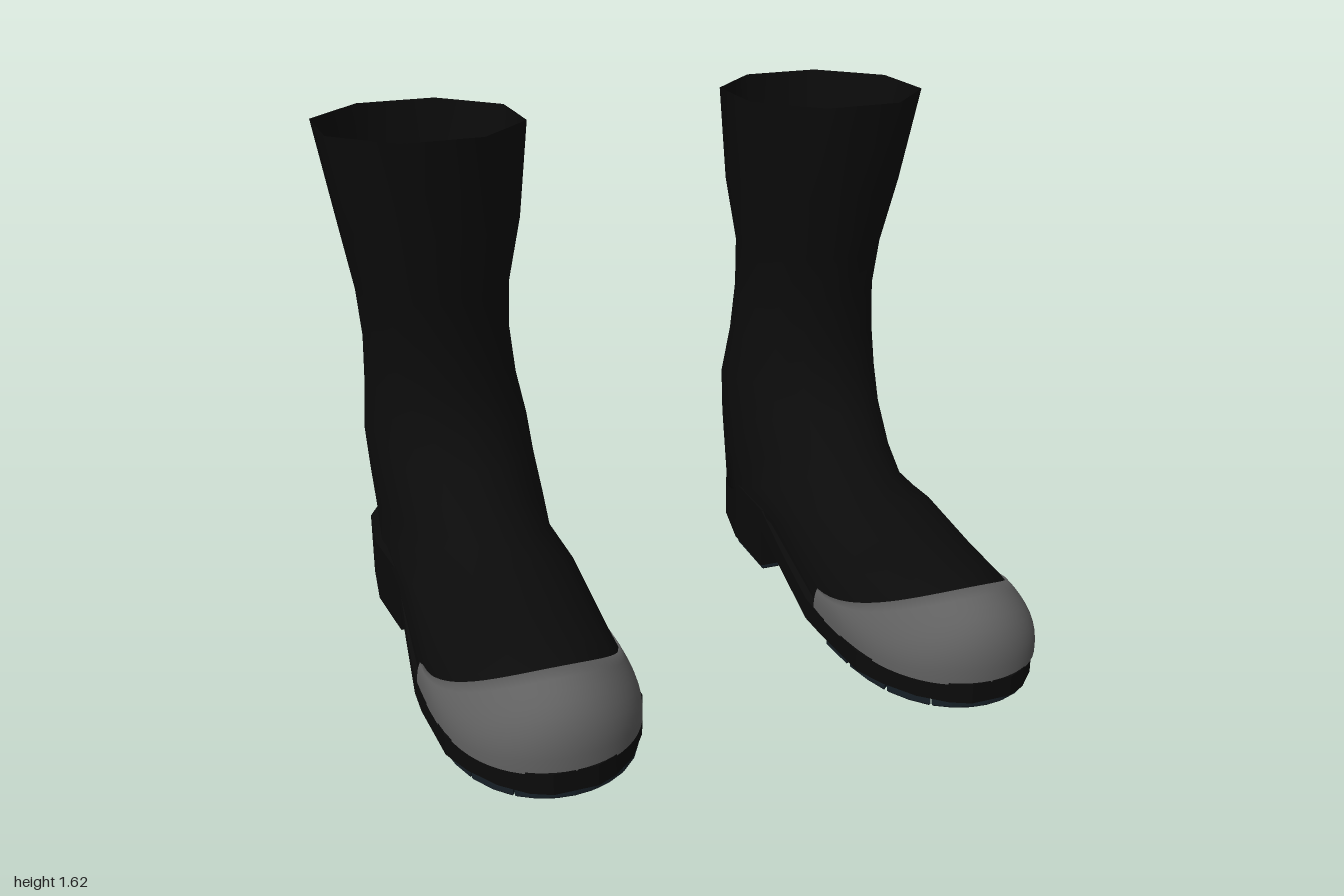
import * as THREE from 'three';
import { mergeVertices } from 'three/addons/utils/BufferGeometryUtils.js';

const mat = (name, color, side = THREE.FrontSide) => {
  const m = new THREE.MeshStandardMaterial({ color, side });
  m.name = name;
  return m;
};

// Skin a list of equal-length rings of [x, y, z] points
function loft(rings, { closed = true, capStart = false, capEnd = false, flat = false } = {}) {
  const n = rings[0].length, idx = [];
  const last = (rings.length - 1) * n;
  for (let i = 0; i < rings.length - 1; i++) {
    for (let j = 0; j < (closed ? n : n - 1); j++) {
      const a = i * n + j, b = i * n + (j + 1) % n;
      idx.push(a, a + n, b, b, a + n, b + n);
    }
  }
  for (let j = 1; j < n - 1; j++) {
    if (capStart) idx.push(0, j, j + 1);
    if (capEnd) idx.push(last, last + j + 1, last + j);
  }
  let g = new THREE.BufferGeometry();
  g.setAttribute('position', new THREE.Float32BufferAttribute(rings.flat(2), 3));
  g.setIndex(idx);
  if (flat) g = g.toNonIndexed();
  g.computeVertexNormals();
  return g;
}

// Boot upper: each ring runs from a front point to a back point
// [frontZ, frontY, backZ, backY, centreX, halfWidth, widest position]
function upperGeometry() {
  const S = [
    [-0.20, 1.615, -0.85, 1.61, 0.688, 0.312, 0.5],
    [-0.255, 1.30, -0.825, 1.30, 0.672, 0.272, 0.5],
    [-0.29, 1.08, -0.81, 1.08, 0.667, 0.248, 0.5],
    [-0.315, 0.93, -0.805, 0.91, 0.66, 0.24, 0.5],
    [-0.305, 0.78, -0.818, 0.74, 0.654, 0.25, 0.5],
    [-0.275, 0.65, -0.845, 0.56, 0.645, 0.27, 0.5],
    [-0.19, 0.55, -0.838, 0.40, 0.64, 0.27, 0.48],
    [-0.07, 0.46, -0.812, 0.25, 0.635, 0.27, 0.45],
    [0.05, 0.41, -0.78, 0.10, 0.633, 0.27, 0.4],
    [0.17, 0.375, -0.20, 0.19, 0.638, 0.28, 0.2],
    [0.39, 0.342, 0.20, 0.08, 0.647, 0.295, 0.15],
    [0.55, 0.335, 0.50, 0.06, 0.647, 0.283, 0.15],
    [0.68, 0.315, 0.68, 0.06, 0.647, 0.215, 0.15],
    [0.77, 0.24, 0.77, 0.06, 0.647, 0.14, 0.15],
    [0.81, 0.14, 0.81, 0.06, 0.647, 0.08, 0.15],
  ];
  const seg = 16;
  return loft(S.map(([fz, fy, bz, by, cx, w, m], i) =>
    Array.from({ length: seg }, (_, j) => {
      // the shaft opening is eight-sided
      const k = i < 2 && j % 2 ? 1.08 : 1;
      const t = j / seg * Math.PI * 2, c = Math.cos(t) * k, s = Math.sin(t) * k;
      const u = c > 0 ? m + (1 - m) * c : m + m * c;
      return [cx + w * s, by + (fy - by) * u, bz + (fz - bz) * u];
    })), { capEnd: true });
}

// Slab made of rectangular sections: [z, innerX, outerX, bottomY, topY]
const slab = (stations) => loft(stations.map(([z, a, b, lo, hi]) =>
  [[a, lo, z], [b, lo, z], [b, hi, z], [a, hi, z]]), { capStart: true, capEnd: true, flat: true });

const soleGeometry = () => slab([
  [0.85, 0.585, 0.715, 0.03, 0.095],
  [0.82, 0.525, 0.775, 0.03, 0.095],
  [0.75, 0.45, 0.845, 0.03, 0.095],
  [0.65, 0.388, 0.905, 0.03, 0.095],
  [0.55, 0.35, 0.943, 0.03, 0.095],
  [0.30, 0.343, 0.955, 0.03, 0.095],
  [0.20, 0.34, 0.952, 0.035, 0.105],
  [0.00, 0.348, 0.93, 0.10, 0.165],
  [-0.21, 0.357, 0.905, 0.17, 0.24],
]);

const heelGeometry = () => slab([
  [-0.205, 0.357, 0.905, 0.03, 0.24],
  [-0.45, 0.365, 0.925, 0.03, 0.24],
  [-0.65, 0.41, 0.90, 0.03, 0.24],
  [-0.78, 0.495, 0.83, 0.03, 0.24],
  [-0.815, 0.54, 0.78, 0.03, 0.24],
]);

// Toe outline in plan, phi = 0 at the tip
const CX = 0.648;
const toe = (phi, w = 0.305, len = 0.6) =>
  [CX + w * Math.sin(phi), 0.25 + len * Math.pow(Math.max(0, Math.cos(phi)), 0.6)];

// Toe cap: curved strip from a swept-back upper edge down to the sole
function capGeometry() {
  const cols = 32, rows = 8, grid = [];
  for (let r = -1; r <= rows; r++) {
    const t = Math.max(0, r) / rows;
    const row = [];
    for (let c = 0; c <= cols; c++) {
      const phi = (c / cols - 0.5) * Math.PI, cos = Math.max(0, Math.cos(phi));
      const top = [0.293 * Math.sin(phi), 0.165 + 0.17 * Math.pow(cos, 1.7), 0.25 + 0.45 * cos];
      const [bx, bz] = toe(phi);
      const bottom = [bx - CX, 0.09, bz];
      const mid = [bottom[0], top[1] * 0.87, bz + 0.02 * cos];
      const p = top.map((v, k) => v * (1 - t) ** 2 + mid[k] * 2 * t * (1 - t) + bottom[k] * t * t);
      // first row tucks the rim into the upper
      row.push(r < 0 ? [CX + p[0] * 0.92, p[1] - 0.025, p[2]] : [CX + p[0], p[1], p[2]]);
    }
    grid.push(row);
  }
  return loft(grid, { closed: false });
}

// Bevelled tread block from plan points [x, z]
function treadGeometry(points) {
  const shape = new THREE.Shape(points.map(([x, z]) => new THREE.Vector2(x, -z)));
  const g = new THREE.ExtrudeGeometry(shape, {
    depth: 0.022, bevelThickness: 0.006, bevelSize: 0.006, bevelSegments: 1,
  });
  return g.rotateX(-Math.PI / 2).translate(0, 0.006, 0);
}

function mirrored(geometry) {
  const g = geometry.index ? geometry.clone() : mergeVertices(geometry);
  g.scale(-1, 1, 1);
  const a = g.index.array;
  for (let i = 0; i < a.length; i += 3) [a[i], a[i + 1]] = [a[i + 1], a[i]];
  return g;
}

export function createModel() {
  const rubber = mat('black rubber', 0x0b0b0b, THREE.DoubleSide);
  const steel = mat('grey toe cap', 0x606060, THREE.DoubleSide);
  const tread = mat('dark blue tread', 0x161f26);

  const parts = [
    ['upper', upperGeometry(), rubber],
    ['sole', soleGeometry(), rubber],
    ['heel', heelGeometry(), rubber],
    ['toeCap', capGeometry(), steel],
    // horseshoe tread under the heel
    ['heelTread', treadGeometry([
      [0.38, -0.235], [0.385, -0.45], [0.43, -0.64], [0.51, -0.765], [0.55, -0.795],
      [0.77, -0.795], [0.815, -0.765], [0.88, -0.64], [0.90, -0.45], [0.88, -0.235],
      [0.75, -0.235], [0.75, -0.5], [0.70, -0.59], [0.57, -0.59], [0.51, -0.5], [0.51, -0.235],
    ]), tread],
  ];

  // lugs fanned round the toe
  const spans = [[0.2, 0.55], [0.6, 0.98], [1.03, 1.34], [1.39, 1.53]];
  const all = [[-0.17, 0.17], ...spans, ...spans.map(([a, b]) => [-b, -a])];
  for (const [a, b] of all) {
    const outer = (p) => toe(p, 0.288, 0.58);
    const inner = (p) => toe(p, 0.16, 0.43);
    parts.push(['toeLug', treadGeometry([inner(a), outer(a), outer((a + b) / 2), outer(b), inner(b)]), tread]);
  }

  const model = new THREE.Group();
  model.name = 'bootPair';
  for (const side of ['left', 'right']) {
    const boot = new THREE.Group();
    boot.name = side + 'Boot';
    for (const [name, geometry, material] of parts) {
      const mesh = new THREE.Mesh(side === 'left' ? geometry : mirrored(geometry), material);
      mesh.name = name;
      boot.add(mesh);
    }
    model.add(boot);
  }
  return model;
}
